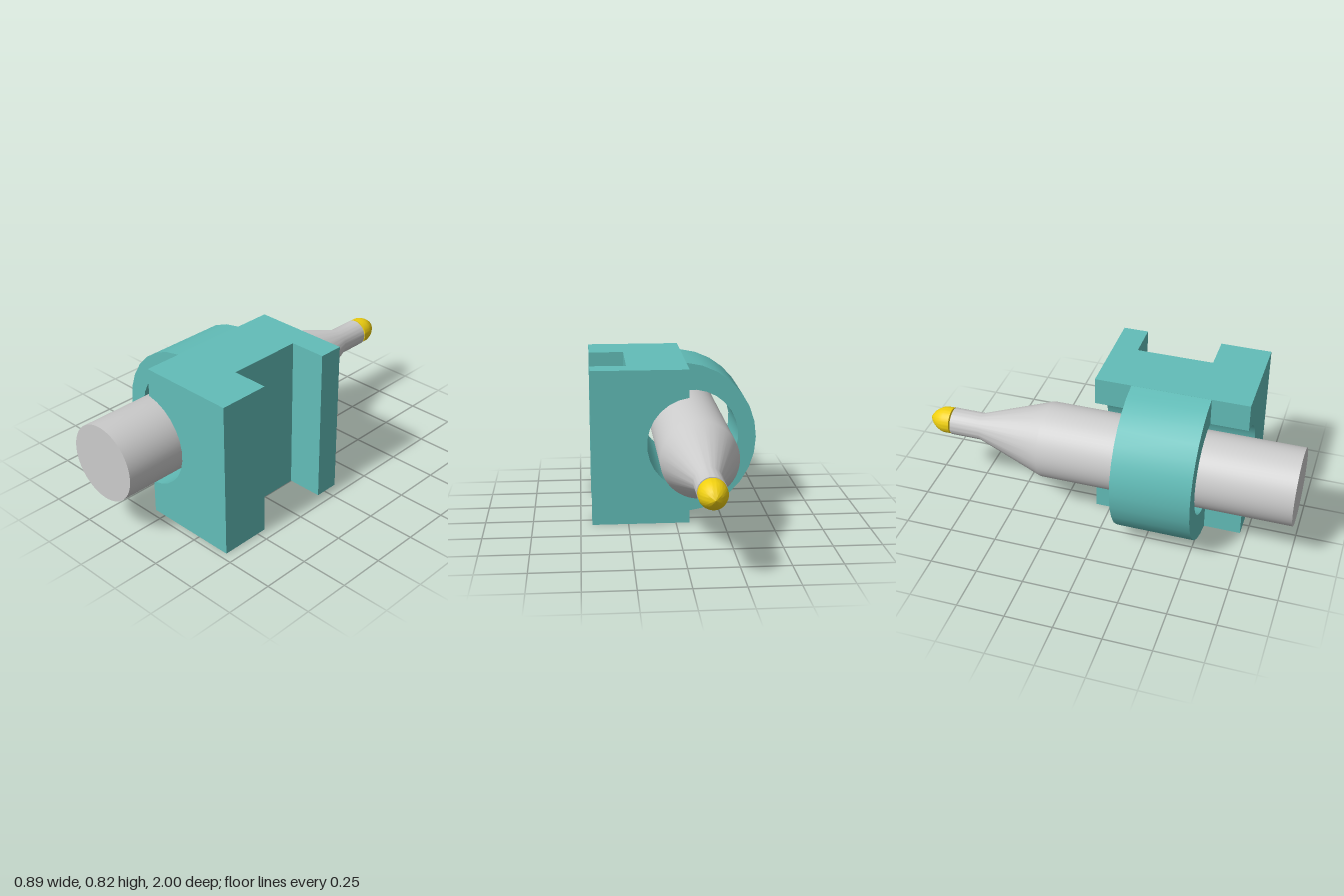
import * as THREE from 'three';
import { toCreasedNormals } from 'three/addons/utils/BufferGeometryUtils.js';

const teal = new THREE.MeshStandardMaterial({ color: 0x62bdb8 });
const grey = new THREE.MeshStandardMaterial({ color: 0xcccccc });
const yellow = new THREE.MeshStandardMaterial({ color: 0xf0d010 });

const AXIS_X = -0.1, AXIS_Y = 0.41;          // shaft centre line
const SPLIT_X = -0.07, WEB_X = 0.25, EDGE_X = 0.44, HEIGHT = 0.82;

// Points on an arc, angles in degrees
function arc(cx, cy, r, from, to, steps) {
  return Array.from({ length: steps + 1 }, (_, i) => {
    const a = THREE.MathUtils.degToRad(from + ((to - from) * i) / steps);
    return new THREE.Vector2(cx + r * Math.cos(a), cy + r * Math.sin(a));
  });
}

// Outline in x, y extruded from z0 to z1
function slab(name, points, z0, z1) {
  const geometry = new THREE.ExtrudeGeometry(new THREE.Shape(points), {
    depth: z1 - z0, bevelEnabled: false,
  });
  geometry.translate(0, 0, z0);
  const mesh = new THREE.Mesh(toCreasedNormals(geometry, 0.4), teal);
  mesh.name = name;
  return mesh;
}

// Profile of [z, radius] pairs turned around the shaft axis, running towards -z
function turned(name, profile, material) {
  const points = profile.map(([z, r]) => new THREE.Vector2(r, -z));
  const geometry = new THREE.LatheGeometry(points, 64).rotateX(-Math.PI / 2);
  const mesh = new THREE.Mesh(toCreasedNormals(geometry, 0.6), material);
  mesh.name = name;
  mesh.position.set(AXIS_X, AXIS_Y, 0);
  return mesh;
}

function createBracket() {
  const bracket = new THREE.Group();
  bracket.name = 'bracket';

  // Rounded collar around the left half of the bore
  bracket.add(slab('collar', [
    ...arc(-0.035, 0.41, 0.411, 94.9, 265.1, 14),
    ...arc(AXIS_X, 0.425, 0.25, 276.9, 83.1, 15),
  ], 0.11, 0.52));

  // Block holding the other half of the bore
  const v = (x, y) => new THREE.Vector2(x, y);
  bracket.add(slab('web', [
    v(SPLIT_X, 0), v(WEB_X, 0), v(WEB_X, HEIGHT), v(SPLIT_X, HEIGHT),
    ...arc(AXIS_X, 0.425, 0.25, 83.1, -83.1, 13),
  ], -0.08, 0.715));

  // Flanges on both sides of the vertical slot
  for (const [name, z0, z1] of [['backFlange', -0.08, 0.05], ['frontFlange', 0.45, 0.715]]) {
    const flange = new THREE.Mesh(
      new THREE.BoxGeometry(EDGE_X - WEB_X, HEIGHT, z1 - z0), teal);
    flange.name = name;
    flange.position.set((EDGE_X + WEB_X) / 2, HEIGHT / 2, (z0 + z1) / 2);
    bracket.add(flange);
  }
  return bracket;
}

export function createModel() {
  const model = new THREE.Group();
  model.name = 'bracketWithShaft';
  model.add(createBracket());

  // Shaft with a taper and a narrow neck
  model.add(turned('shaft', [
    [1, 0], [1, 0.2], [-0.33, 0.2], [-0.7, 0.072], [-0.865, 0.072], [-0.865, 0],
  ], grey));

  // Separate nose at the end of the neck
  model.add(turned('tip', [
    [-0.874, 0], [-0.874, 0.07], [-0.912, 0.07], [-0.935, 0.064],
    [-0.956, 0.052], [-0.974, 0.038], [-0.988, 0.02], [-1, 0],
  ], yellow));
  return model;
}
